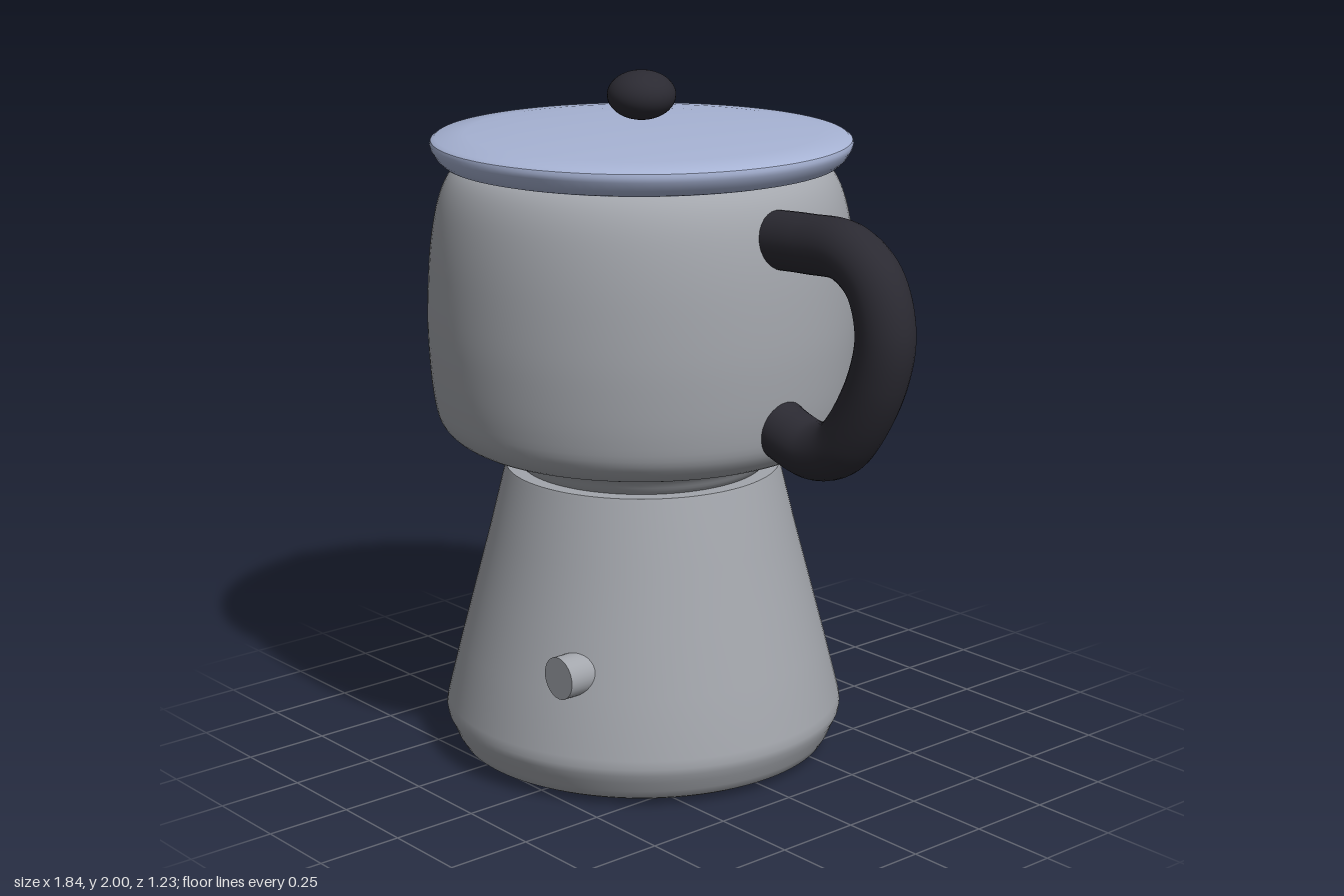
import * as THREE from 'three';
import { toCreasedNormals } from 'three/addons/utils/BufferGeometryUtils.js';

const AXIS_X = -0.14; // vertical axis of the pot

const steel = new THREE.MeshStandardMaterial({ color: 0xa3a6ac });
steel.name = 'steel';
const lidBlue = new THREE.MeshStandardMaterial({ color: 0xa7b3d4 });
lidBlue.name = 'lid blue';
const black = new THREE.MeshStandardMaterial({ color: 0x2b2a32 });
black.name = 'black plastic';

// Revolve a profile of [radius, y] pairs, listed from bottom to top
function turned(profile, segments = 96) {
  const pts = profile.map(([r, y]) => new THREE.Vector2(r, y));
  return toCreasedNormals(new THREE.LatheGeometry(pts, segments), 0.6);
}

// Smooth a profile through its points
function smooth(profile, count) {
  const curve = new THREE.SplineCurve(profile.map(([r, y]) => new THREE.Vector2(r, y)));
  return curve.getPoints(count).map((p) => [Math.max(p.x, 0), p.y]);
}

export function createModel() {
  const model = new THREE.Group();
  model.name = 'stovetopPot';

  function add(name, geometry, material, x = 0, y = 0, z = 0) {
    const mesh = new THREE.Mesh(geometry, material);
    mesh.name = name;
    mesh.position.set(x, y, z);
    model.add(mesh);
    return mesh;
  }

  // Flared boiler with a rounded foot
  add('base', turned([
    [0, 0], [0.46, 0.005], [0.52, 0.012], [0.545, 0.025], [0.56, 0.05], [0.572, 0.08],
    [0.584, 0.105], [0.587, 0.125], [0.583, 0.15], [0.54, 0.32], [0.495, 0.49],
    [0.45, 0.66], [0.403, 0.85], [0.4, 0.86], [0, 0.86],
  ]), steel, AXIS_X);

  // Upper vessel with its narrow neck
  add('vessel', turned([
    ...smooth([
      [0.345, 0.85], [0.365, 0.87], [0.39, 0.905], [0.44, 0.928], [0.53, 0.95], [0.585, 1.0],
      [0.605, 1.08], [0.615, 1.2], [0.617, 1.32], [0.608, 1.48], [0.59, 1.6],
      [0.565, 1.68], [0.53, 1.73], [0.48, 1.755],
    ], 56),
    [0, 1.76],
  ]), steel, AXIS_X);

  // Shallow domed lid with a rolled rim
  add('lid', turned([
    [0, 1.742], [0.54, 1.74], [0.565, 1.746], [0.582, 1.762], [0.597, 1.787], [0.6, 1.8],
    [0.597, 1.81], [0.585, 1.818], [0.5, 1.827], [0.36, 1.837], [0.18, 1.843], [0, 1.845],
  ]), lidBlue, AXIS_X);

  // Oval knob hovering just above the lid
  const knob = add('lidKnob', new THREE.SphereGeometry(1, 40, 24), black, AXIS_X, 1.93, 0);
  knob.scale.set(0.098, 0.07, 0.098);

  // Stubby spout, leaning in towards the lid
  const spout = add('spout', turned([
    [0, 0], [0.125, 0], [0.14, 0.006], [0.149, 0.018], [0.153, 0.035],
    [0.186, 0.32], [0.184, 0.34], [0.174, 0.355], [0.155, 0.36], [0, 0.36],
  ], 48), steel, -0.81, 1.42, 0);
  spout.rotation.z = -Math.atan2(0.6, 0.8);

  // Looped side handle
  const path = new THREE.CatmullRomCurve3([
    [0.4, 1.6], [0.55, 1.61], [0.7, 1.61], [0.8, 1.545], [0.843, 1.42], [0.82, 1.29],
    [0.74, 1.14], [0.68, 1.075], [0.59, 1.045], [0.5, 1.06], [0.4, 1.1],
  ].map(([x, y]) => new THREE.Vector3(x, y, 0)));
  add('handle', new THREE.TubeGeometry(path, 80, 0.081, 28, false), black);

  // Small safety valve on the front of the boiler
  const valve = add('safetyValve',
    new THREE.CylinderGeometry(0.061, 0.061, 0.12, 32), steel, 0.1, 0.372, 0.452);
  valve.rotation.x = Math.PI / 2;

  return model;
}
